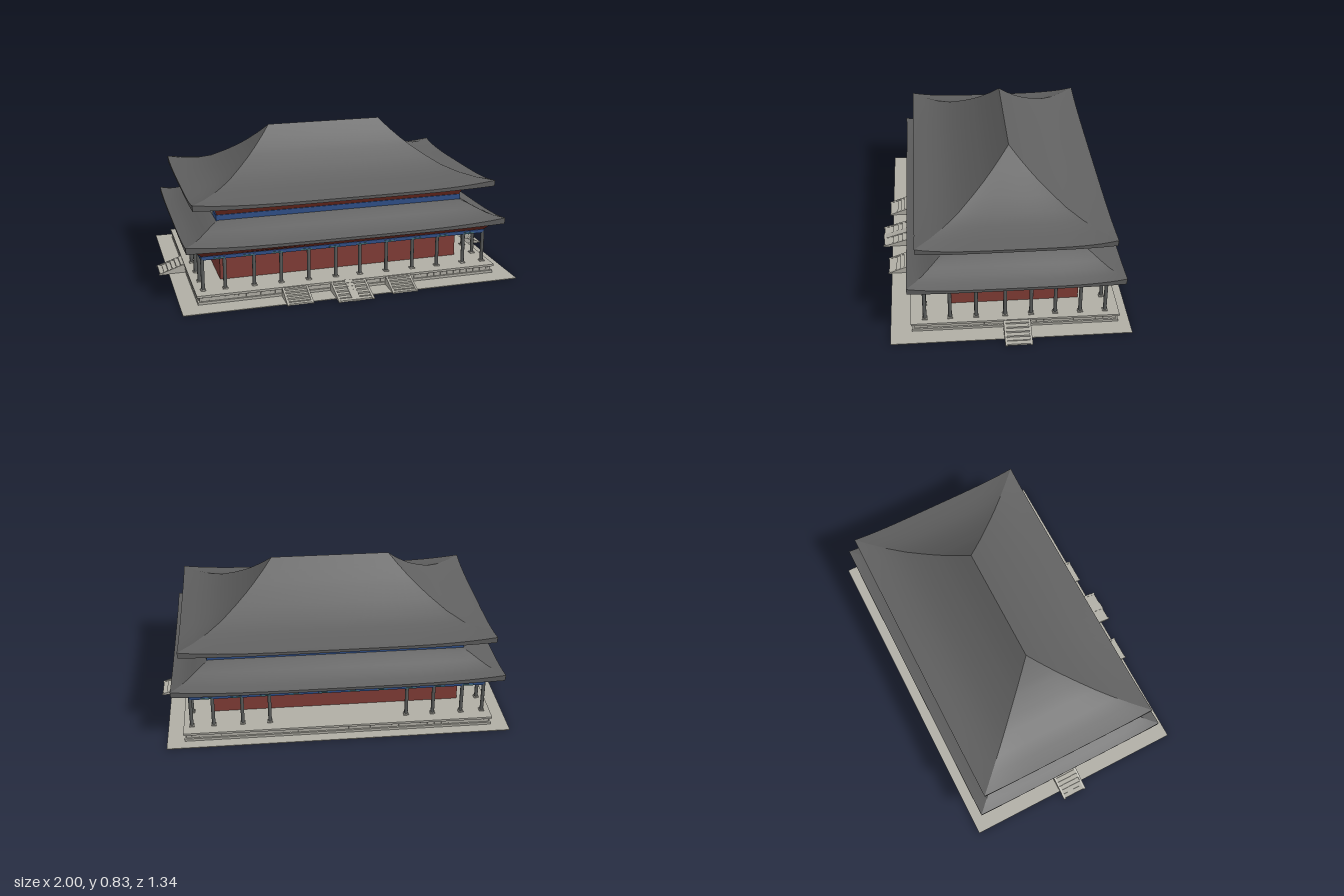
import * as THREE from 'three';
import { mergeGeometries } from 'three/addons/utils/BufferGeometryUtils.js';

const mat = (name, color, side = THREE.FrontSide) => {
  const m = new THREE.MeshStandardMaterial({ color, side });
  m.name = name;
  return m;
};

export function createModel() {
  const root = new THREE.Group();
  root.name = 'palaceHall';
  const roofGrey = mat('roofTileGrey', 0x606060, THREE.DoubleSide);
  const stone = mat('stone', 0xb0aea5);
  const wallRed = mat('wallRed', 0x823d36);
  const bracketRed = mat('bracketRed', 0x702c22);
  const columnGrey = mat('columnGrey', 0x5a5c5b);
  const blue = mat('paintedBlue', 0x2f4f88);
  const teal = mat('paintedTeal', 0x40707a);
  const pale = mat('palePanel', 0xb4b8b0);

  // The hall is centred a little behind the origin
  const hall = new THREE.Group();
  hall.name = 'hall';
  hall.position.z = -0.06;
  root.add(hall);

  const add = (parent, name, geo, material) => {
    const m = new THREE.Mesh(geo, material);
    m.name = name;
    parent.add(m);
    return m;
  };
  const boxGeo = (w, h, d, x, y, z) => new THREE.BoxGeometry(w, h, d).translate(x, y, z);
  // Box given by its bottom and top height
  const box = (parent, name, material, w, y0, y1, d, x = 0, z = 0) =>
    add(parent, name, boxGeo(w, y1 - y0, d, x, (y0 + y1) / 2, z), material);

  // Four-sided shell through rectangular rings [halfX, halfZ, y, cornerLift], listed from top to bottom
  function loft(name, rings, material, n = 1) {
    const sides = [];
    for (let s = 0; s < 4; s++) {
      const pos = [], idx = [];
      rings.forEach(([hx, hz, y, lift = 0], i) => {
        for (let j = 0; j <= n; j++) {
          const u = (2 * j) / n - 1, yy = y + lift * Math.pow(Math.abs(u), 4);
          const p = [[u * hx, hz], [hx, -u * hz], [-u * hx, -hz], [-hx, u * hz]][s];
          pos.push(p[0], yy, p[1]);
          if (i && j) {
            const b = i * (n + 1) + j, a = b - n - 1;
            idx.push(a - 1, b - 1, a, a, b - 1, b);
          }
        }
      });
      const g = new THREE.BufferGeometry();
      g.setAttribute('position', new THREE.Float32BufferAttribute(pos, 3));
      g.setIndex(idx);
      g.computeVertexNormals();
      sides.push(g);
    }
    return add(hall, name, mergeGeometries(sides), material);
  }

  // Terrace: ground slab, plinth, recessed band with small blocks, cap
  box(hall, 'groundSlab', stone, 1.89, 0, 0.004, 1.285, 0, 0.027);
  box(hall, 'terraceFoot', stone, 1.7, 0.004, 0.018, 1.11);
  box(hall, 'terraceCore', stone, 1.68, 0.018, 0.044, 1.09);
  box(hall, 'terraceCap', stone, 1.71, 0.044, 0.056, 1.12);
  const blocks = [];
  for (const s of [-1, 1]) {
    for (let i = 0; i < 42; i++) blocks.push(boxGeo(0.018, 0.018, 0.008, -0.82 + i * 0.04, 0.03, s * 0.546));
    for (let i = 0; i < 27; i++) blocks.push(boxGeo(0.008, 0.018, 0.018, s * 0.841, 0.03, -0.52 + i * 0.04));
  }
  add(hall, 'terraceBlocks', mergeGeometries(blocks), stone);

  // Sloping stone wedge descending along +z
  const wedge = (w, h, run, x) => {
    const sh = new THREE.Shape([[0, 0], [run, 0], [run, 0.005], [0, h]].map(p => new THREE.Vector2(...p)));
    return new THREE.ExtrudeGeometry(sh, { depth: w, bevelEnabled: false }).rotateY(-Math.PI / 2).translate(x + w / 2, 0, 0);
  };
  // Staircase of steps between sloping side walls, optionally with a centre ramp
  function stairs(name, w, run, ramp = 0) {
    const g = new THREE.Group(), parts = [], n = 6, h = 0.055;
    g.name = name;
    for (let i = 0; i < n; i++) {
      const d = run * (1 - i / n) * 0.97, hh = h / n;
      parts.push(boxGeo(w - 0.02, hh, d, 0, hh * (i + 0.5) - 0.004 * (i > 0), d / 2));
    }
    for (const s of [-1, 1]) parts.push(wedge(0.012, h, run, s * (w / 2 - 0.006)).toNonIndexed?.() ?? null);
    if (ramp) parts.push(wedge(ramp, h + 0.003, run, 0));
    add(g, name + 'Stone', mergeGeometries(parts.map(p => (p.index ? p.toNonIndexed() : p))), stone);
    root.add(g);
    return g;
  }
  stairs('centreStairs', 0.2, 0.17, 0.045).position.set(-0.02, 0, 0.495);
  stairs('frontStairsRight', 0.145, 0.135).position.set(-0.322, 0, 0.495);
  stairs('frontStairsLeft', 0.145, 0.135).position.set(0.27, 0, 0.495);
  for (const s of [-1, 1]) {
    const g = stairs(s > 0 ? 'sideStairsLeft' : 'sideStairsRight', 0.145, 0.15);
    g.position.set(s * 0.85, 0, -0.065);
    g.rotation.y = (s * Math.PI) / 2;
  }

  // Main storey walls
  box(hall, 'lowerWalls', wallRed, 1.39, 0.056, 0.235, 0.71);
  box(hall, 'innerLintel', blue, 1.4, 0.222, 0.248, 0.72);

  // Colonnade; the middle four columns are left out at the back
  const xs = [0.07, 0.225, 0.38, 0.53, 0.69, 0.81];
  const zs = [0.35, 0.21, 0.055, -0.085, -0.215, -0.35];
  const column = (x, z) => {
    add(hall, 'columnShaft', new THREE.CylinderGeometry(0.01, 0.01, 0.18, 10).translate(x, 0.15, z), columnGrey);
    box(hall, 'columnFoot', stone, 0.028, 0.055, 0.063, 0.028, x, z);
  };
  for (const s of [-1, 1]) {
    xs.forEach((x, i) => {
      column(s * x, 0.485);
      if (i > 1) column(s * x, -0.485);
    });
    zs.forEach(z => column(s * 0.81, z));
    // Painted beams over the columns
    box(hall, 'longBeam', blue, 1.63, 0.23, 0.25, 0.018, 0, s * 0.485);
    box(hall, 'sideBeam', blue, 0.018, 0.23, 0.25, 0.95, s * 0.81);
    for (let i = 0; i < 6; i++) {
      box(hall, 'sideBeamPanel', teal, 0.004, 0.233, 0.247, 0.06, s * 0.82, -0.4 + i * 0.16);
    }
    for (let i = 0; i < 10; i++) {
      box(hall, 'longBeamPanel', teal, 0.06, 0.233, 0.24, 0.004, -0.72 + i * 0.16, s * 0.495);
    }
  }
  box(hall, 'porchCeiling', blue, 1.61, 0.246, 0.251, 0.96);

  // Flaring bracket zones under each roof
  loft('lowerBrackets', [[0.845, 0.515, 0.283], [0.815, 0.49, 0.25], [0, 0, 0.25]], bracketRed);
  box(hall, 'lowerEaveBeam', blue, 1.66, 0.283, 0.297, 1.0);
  box(hall, 'upperWalls', wallRed, 1.38, 0.3, 0.44, 0.73);
  box(hall, 'upperPaintedBand', blue, 1.42, 0.402, 0.435, 0.75);
  loft('upperBrackets', [[0.73, 0.393, 0.492], [0.705, 0.37, 0.435]], bracketRed);
  box(hall, 'upperEaveBeam', blue, 1.45, 0.492, 0.506, 0.77);

  // Painted panels on the ends of the upper band
  for (const s of [-1, 1]) {
    const panel = (m, z0, z1) =>
      box(hall, 'bandPanel', m, 0.004, 0.404, 0.433, z1 - z0, s * 0.711, (z0 + z1) / 2 + 0.06);
    panel(pale, 0.15, 0.2);
    panel(teal, -0.04, 0.13);
    panel(teal, -0.32, -0.08);
    panel(teal, -0.42, -0.38);
  }

  // Lower skirt roof with lifted corners
  loft('lowerRoof', [
    [0.69, 0.365, 0.41], [0.735, 0.405, 0.392, 0.002], [0.78, 0.448, 0.364, 0.006],
    [0.82, 0.487, 0.341, 0.01], [0.86, 0.527, 0.322, 0.017], [0.905, 0.572, 0.309, 0.026],
  ], roofGrey, 24);
  loft('lowerRoofEdge', [[0.905, 0.572, 0.309, 0.026], [0.903, 0.57, 0.292, 0.008]], roofGrey, 24);
  loft('lowerRoofUnderside', [[0.903, 0.57, 0.292, 0.008], [0.82, 0.49, 0.294]], roofGrey, 24);

  // Great hipped roof with a straight ridge and concave slopes
  const profile = [
    [0, 0.83, 0], [0.1, 0.775, 0], [0.2, 0.726, 0], [0.28, 0.69, 0.001], [0.4, 0.643, 0.003],
    [0.55, 0.59, 0.007], [0.7, 0.555, 0.012], [0.85, 0.533, 0.018], [1, 0.519, 0.028],
  ];
  loft('upperRoof', profile.map(([t, y, lift]) => [0.33 + 0.525 * t, 0.522 * t, y, lift]), roofGrey, 24);
  loft('upperRoofEdge', [[0.855, 0.522, 0.519, 0.028], [0.853, 0.52, 0.502, 0.011]], roofGrey, 24);
  loft('upperRoofUnderside', [[0.853, 0.52, 0.502, 0.011], [0.72, 0.38, 0.504]], roofGrey, 24);

  return root;
}
